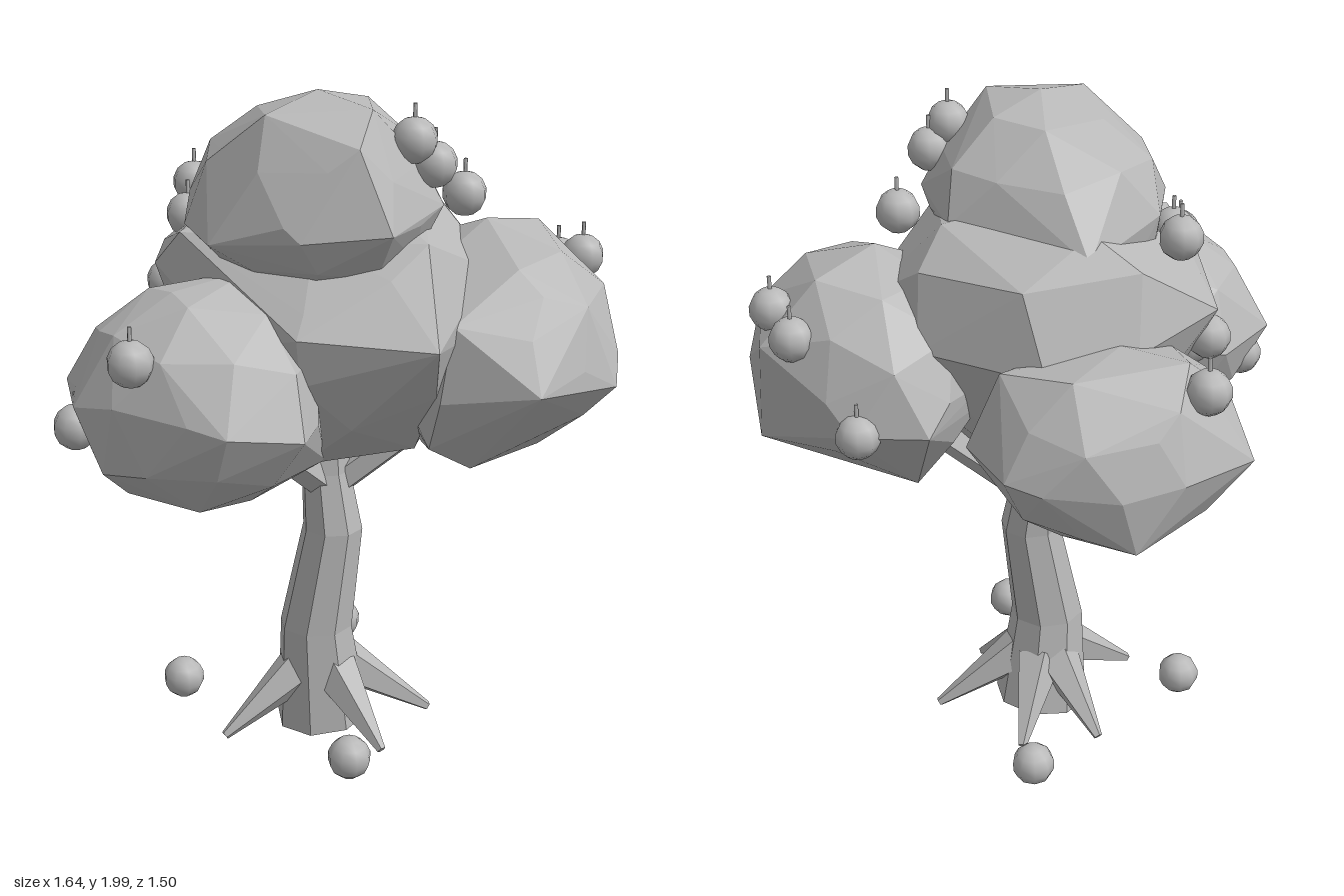
import * as THREE from 'three';
import { ConvexGeometry } from 'three/addons/geometries/ConvexGeometry.js';

const grey = new THREE.MeshStandardMaterial({ color: 0xb8b8b8 });
grey.name = 'plainGrey';

// Splits the faces so each one is shaded flat
function flat(geometry) {
  const g = geometry.toNonIndexed();
  g.computeVertexNormals();
  return g;
}

function addMesh(parent, name, geometry) {
  const mesh = new THREE.Mesh(geometry, grey);
  mesh.name = name;
  parent.add(mesh);
  return mesh;
}

// Faceted clump: a hull around a few corner points and a rounded core that fills them out
function foliageClump(corners, fill, turn) {
  const points = corners.map((c) => new THREE.Vector3(...c));
  const box = new THREE.Box3().setFromPoints(points);
  const centre = box.getCenter(new THREE.Vector3());
  const half = box.getSize(new THREE.Vector3()).multiplyScalar(fill / 2);
  const core = new THREE.IcosahedronGeometry(1, 1).rotateX(turn).rotateY(turn * 0.7);
  const p = core.attributes.position;
  for (let i = 0; i < p.count; i++) {
    points.push(new THREE.Vector3().fromBufferAttribute(p, i).multiply(half).add(centre));
  }
  return new ConvexGeometry(points);
}

// Tapered limb between two points
function limb(from, to, r0, r1, sides) {
  const a = new THREE.Vector3(...from), b = new THREE.Vector3(...to);
  const d = b.clone().sub(a);
  const g = new THREE.CylinderGeometry(r1, r0, d.length(), sides);
  g.applyQuaternion(new THREE.Quaternion().setFromUnitVectors(new THREE.Vector3(0, 1, 0), d.normalize()));
  g.translate((a.x + b.x) / 2, (a.y + b.y) / 2, (a.z + b.z) / 2);
  return flat(g);
}

// Bent eight-sided trunk; each ring is height, centre x, centre z, radius
function trunkGeometry() {
  const rings = [
    [0.025, 0.03, 0.07, 0.145],
    [0.34, 0.005, 0.07, 0.112],
    [0.66, 0.05, 0.09, 0.092],
    [0.84, 0.04, 0.065, 0.075],
    [0.98, 0.04, 0.06, 0.065],
  ];
  const g = new THREE.CylinderGeometry(1, 1, 4, 8, 4);
  const p = g.attributes.position;
  for (let i = 0; i < p.count; i++) {
    const k = Math.round(p.getY(i) + 2);
    const [y, cx, cz, r] = rings[k];
    const tilt = k === 0 ? p.getX(i) * 0.018 : 0;
    p.setXYZ(i, cx + p.getX(i) * r, y + tilt, cz + p.getZ(i) * r);
  }
  return flat(g);
}

// Corner points of the five foliage clumps
const middle = [
  [0.03, 1.37, 0.67], [0.17, 1.42, 0.56], [-0.29, 1.4, 0.47], [0.46, 1.45, 0.32], [0.48, 1.4, 0],
  [0.3, 1.4, -0.36], [0.06, 1.45, -0.45], [-0.26, 1.48, -0.39], [-0.46, 1.52, -0.03], [-0.42, 1.62, 0.05],
  [0.33, 1.71, 0.1], [0.44, 1.61, 0.05], [0.05, 1.72, -0.22], [0, 1.65, -0.38], [0.1, 1.76, 0],
  [0.1, 1.62, 0.5], [0.04, 0.91, 0.1], [-0.15, 0.95, 0.25], [0.2, 0.95, 0.3], [0.2, 0.96, -0.12],
  [-0.17, 0.99, -0.1], [0.3, 1.62, -0.25],
];
const top = [
  [-0.06, 2, 0.18], [-0.26, 1.96, 0.25], [-0.36, 1.82, 0.1], [-0.42, 1.65, 0.08], [-0.42, 1.62, 0.22],
  [-0.26, 1.65, 0.44], [-0.05, 1.67, 0.56], [-0.1, 1.89, 0.47], [0, 1.97, 0.37], [0.12, 1.96, 0.15],
  [0.26, 1.84, 0.15], [0.31, 1.7, 0.1], [0.2, 1.7, 0.42], [0.05, 1.95, 0], [0.1, 1.78, -0.17],
  [-0.15, 1.77, -0.14], [0.1, 1.66, -0.28], [-0.2, 1.6, -0.17], [-0.05, 1.38, 0.2],
];
const right = [
  [-0.8, 1.21, 0.16], [-0.76, 1.04, 0.25], [-0.39, 0.85, 0.2], [-0.07, 0.95, 0.25], [-0.69, 1.39, 0.1],
  [-0.52, 1.5, 0.2], [-0.28, 1.53, 0.2], [-0.71, 1.2, -0.1], [-0.47, 1.2, -0.19], [-0.31, 1.25, -0.17],
  [-0.55, 1.2, 0.57], [-0.32, 1.15, 0.57],
];
const left = [
  [0.31, 1.22, 0.75], [0.59, 1.2, 0.72], [0.81, 1.39, 0.3], [0.79, 1.07, 0.38], [0.7, 1.2, 0],
  [0.53, 1.2, -0.13], [0.43, 1.61, 0.3], [0.65, 1.57, 0.25], [0.11, 1.18, 0.56], [0.14, 1.4, 0.57],
  [0.28, 0.93, 0.47], [0.57, 0.93, 0.4], [0.45, 0.94, 0.08], [0.4, 1.46, 0.62], [0.55, 1.39, 0],
  [0.13, 1.02, 0.48], [0.3, 1.2, -0.03], [0.26, 0.95, 0.22],
];
const back = [
  [-0.12, 1.2, -0.73], [0.13, 1.21, -0.75], [0.25, 1.02, -0.7], [0.41, 1.25, -0.56], [0.5, 1.2, -0.45],
  [0.47, 1.2, -0.22], [-0.21, 1.2, -0.54], [-0.28, 1.15, -0.35], [0.1, 0.91, -0.38], [0.1, 1.48, -0.42],
  [0, 1.47, -0.59], [0.1, 1.39, -0.68], [0.3, 1.45, -0.48], [0.32, 1.03, -0.16], [0.39, 1.42, -0.27],
  [-0.1, 0.95, -0.48], [0.1, 1.04, -0.09], [-0.2, 1.1, -0.2],
];

export function createModel() {
  const tree = new THREE.Group();
  tree.name = 'fruitTree';

  addMesh(tree, 'trunk', trunkGeometry());

  // Roots spreading from the foot of the trunk
  const cx = 0.02, cz = 0.07;
  for (const [x, z] of [[-0.31, 0.06], [0.06, 0.37], [0.33, 0.21], [0.24, -0.13], [0.02, -0.23]]) {
    const a = Math.atan2(z - cz, x - cx);
    const foot = [cx + Math.cos(a) * 0.07, 0.2, cz + Math.sin(a) * 0.07];
    addMesh(tree, 'root', limb(foot, [x, 0.025, z], 0.075, 0.014, 5));
  }

  // Branches reaching into the foliage
  for (const tip of [[-0.28, 1.06, 0.16], [0.34, 1.05, 0.25], [0.1, 1.04, -0.3]]) {
    addMesh(tree, 'branch', limb([0.05, 0.78, 0.07], tip, 0.05, 0.045, 5));
  }

  // Foliage
  const foliage = new THREE.Group();
  foliage.name = 'foliage';
  tree.add(foliage);
  addMesh(foliage, 'middleFoliage', foliageClump(middle, 0.86, 0.4));
  addMesh(foliage, 'topFoliage', foliageClump(top, 0.9, 1.1));
  addMesh(foliage, 'rightFoliage', foliageClump(right, 0.95, 2.3));
  addMesh(foliage, 'leftFoliage', foliageClump(left, 0.94, 3.1));
  addMesh(foliage, 'backFoliage', foliageClump(back, 0.95, 4.2));

  // Round fruit with thin stems
  const fruitGeometry = new THREE.SphereGeometry(0.064, 9, 7);
  const stemGeometry = new THREE.CylinderGeometry(0.006, 0.006, 0.05, 5);
  const addFruit = (x, y, z, stem) => {
    const fruit = new THREE.Group();
    fruit.name = stem ? 'hangingFruit' : 'fallenFruit';
    fruit.position.set(x, y, z);
    addMesh(fruit, 'fruitBody', fruitGeometry);
    if (stem) addMesh(fruit, 'fruitStem', stemGeometry).position.y = 0.075;
    tree.add(fruit);
  };
  const hanging = [
    [0.12, 1.88, 0.39], [0.18, 1.81, 0.4], [0.35, 1.69, 0.3], [0.74, 1.47, 0.35],
    [0.75, 1.43, 0.22], [0.68, 1.2, 0], [-0.01, 1.41, -0.66], [-0.21, 1.67, -0.28],
    [-0.71, 1.37, 0.34], [-0.77, 1.13, 0.1], [-0.31, 1.62, -0.12], [-0.28, 1.37, -0.33],
    [-0.32, 1.29, -0.2], [-0.25, 1.18, -0.3], [-0.64, 1.11, -0.06],
  ];
  for (const [x, y, z] of hanging) addFruit(x, y, z, true);
  for (const [x, z] of [[-0.32, -0.2], [-0.12, 0.48], [0.32, -0.31]]) addFruit(x, 0.11, z, false);

  return tree;
}
